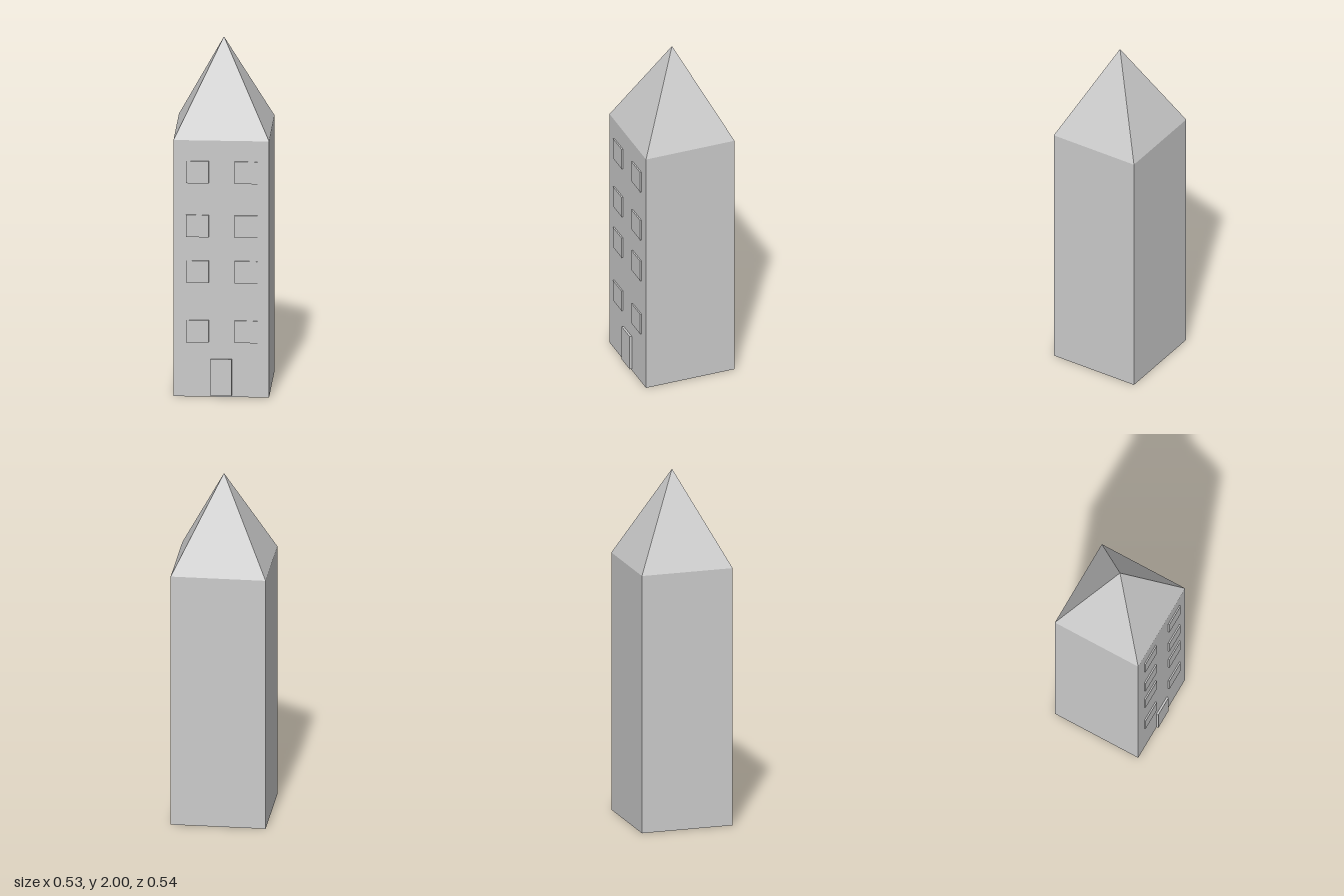
import * as THREE from 'three';

const WIDTH = 0.53, WALL_HEIGHT = 1.475, ROOF_HEIGHT = 0.525;
const CENTER_Z = -0.007, FRONT_Z = CENTER_Z + WIDTH / 2;

export function createModel() {
  const tower = new THREE.Group();
  tower.name = 'tower';
  const material = new THREE.MeshStandardMaterial({ color: 0xcccccc, flatShading: true });

  const add = (name, geometry, x, y, z) => {
    const mesh = new THREE.Mesh(geometry, material);
    mesh.name = name;
    mesh.position.set(x, y, z);
    tower.add(mesh);
  };

  // Panel sunk slightly into the front wall, standing proud by `relief`
  const addPanel = (name, w, h, relief, x, y) => {
    const depth = relief + 0.01;
    add(name, new THREE.BoxGeometry(w, h, depth), x, y, FRONT_Z + relief - depth / 2);
  };

  // Square shaft
  add('walls', new THREE.BoxGeometry(WIDTH, WALL_HEIGHT, WIDTH), 0, WALL_HEIGHT / 2, CENTER_Z);

  // Four-sided pyramid roof, flush with the walls
  const roof = new THREE.ConeGeometry(WIDTH / Math.SQRT2, ROOF_HEIGHT, 4).rotateY(Math.PI / 4);
  add('roof', roof, 0, WALL_HEIGHT + ROOF_HEIGHT / 2, CENTER_Z);

  // Door at the foot of the front wall
  addPanel('door', 0.118, 0.21, 0.012, -0.001, 0.113);

  // Two columns of windows, four floors
  for (const y of [0.377, 0.72, 0.983, 1.293]) {
    addPanel('rightWindow', 0.127, 0.127, 0.008, -0.133, y);
    addPanel('leftWindow', 0.127, 0.127, 0.008, 0.137, y);
  }

  return tower;
}
